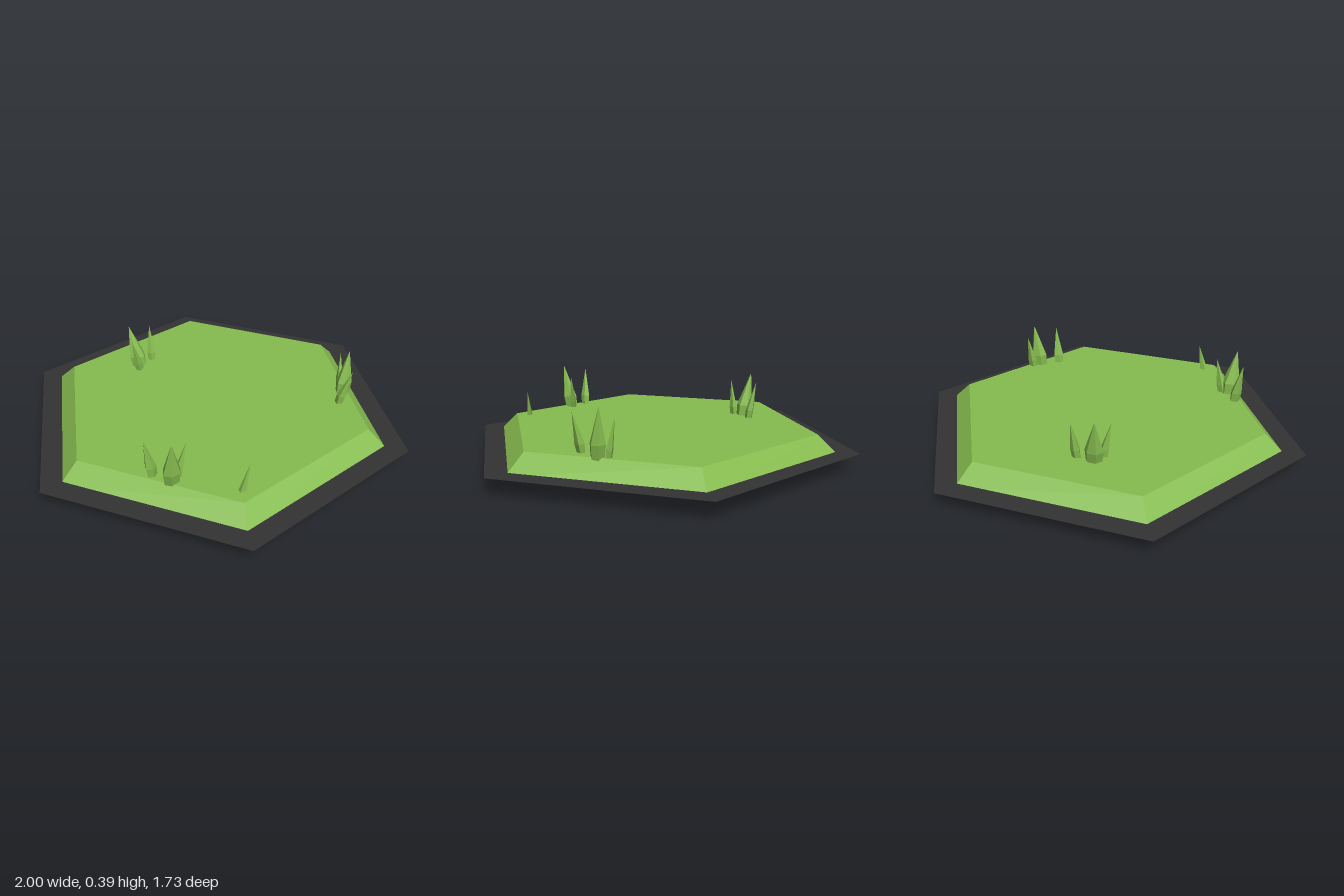
import * as THREE from 'three';

const grass = new THREE.MeshStandardMaterial({ color: 0x86bc4f, flatShading: true, side: THREE.DoubleSide });
const dark = new THREE.MeshStandardMaterial({ color: 0x333333, flatShading: true, side: THREE.DoubleSide });

function add(parent, name, geometry, material, y = 0) {
  const mesh = new THREE.Mesh(geometry, material);
  mesh.name = name;
  mesh.position.y = y;
  parent.add(mesh);
  return mesh;
}

// Flat horizontal hexagon with corners on the x axis
const hexagon = (radius) => new THREE.CircleGeometry(radius, 6).rotateX(-Math.PI / 2);

// Faceted blade: narrow foot, wide shoulder, pointed tip, leaning from base to tip
function bladeGeometry(base, tip, radius, sides, turn) {
  const geometry = new THREE.CylinderGeometry(1, 1, 1, sides, 2);
  geometry.rotateY(turn);
  const levels = [
    { t: 0, r: 0.65, lean: 0 },
    { t: 0.5, r: 1, lean: 0.42 },
    { t: 1, r: 0.02, lean: 1 },
  ];
  const depth = sides > 4 ? 0.85 : 0.75;
  const p = geometry.attributes.position;
  for (let i = 0; i < p.count; i++) {
    const { t, r, lean } = levels[Math.round((p.getY(i) + 0.5) * 2)];
    p.setXYZ(
      i,
      base[0] + (tip[0] - base[0]) * lean + p.getX(i) * r * radius,
      base[1] + (tip[1] - base[1]) * t,
      base[2] + (tip[2] - base[2]) * lean + p.getZ(i) * r * radius * depth
    );
  }
  geometry.computeVertexNormals();
  return geometry;
}

export function createModel() {
  const model = new THREE.Group();
  model.name = 'grassTile';

  // Thin dark base sheet and the bevelled, open-bottomed turf
  add(model, 'baseSheet', hexagon(1), dark, 0.084);
  const bevel = new THREE.CylinderGeometry(0.8, 0.9, 0.094, 6, 1, true, Math.PI / 2);
  add(model, 'turfBevel', bevel, grass, 0.117);
  add(model, 'turfTop', hexagon(0.8), grass, 0.164);

  // Tufts: each blade is [base, tip, shoulder radius, sides]
  const tufts = {
    backTuft: [
      [[-0.1, 0.055, -0.475], [-0.13, 0.38, -0.54], 0.046, 6],
      [[-0.12, 0.06, -0.45], [-0.175, 0.34, -0.445], 0.024, 4],
      [[-0.03, 0.06, -0.48], [-0.01, 0.35, -0.525], 0.024, 5],
    ],
    frontRightTuft: [
      [[-0.54, 0.055, 0.37], [-0.57, 0.387, 0.417], 0.046, 6],
      [[-0.58, 0.06, 0.3], [-0.625, 0.362, 0.29], 0.028, 5],
      [[-0.53, 0.06, 0.37], [-0.47, 0.34, 0.39], 0.025, 4],
    ],
    frontLeftTuft: [
      [[0.54, 0.055, 0.39], [0.578, 0.387, 0.385], 0.044, 6],
      [[0.45, 0.06, 0.43], [0.49, 0.35, 0.488], 0.028, 5],
      [[0.57, 0.06, 0.355], [0.59, 0.34, 0.32], 0.024, 4],
    ],
    loneTuft: [
      [[-0.384, 0, 0.62], [-0.32, 0.295, 0.637], 0.024, 4],
    ],
  };
  for (const [name, blades] of Object.entries(tufts)) {
    const tuft = new THREE.Group();
    tuft.name = name;
    blades.forEach(([base, tip, radius, sides], i) => {
      add(tuft, 'blade', bladeGeometry(base, tip, radius, sides, 0.5 + i * 0.7), grass);
    });
    model.add(tuft);
  }
  return model;
}
